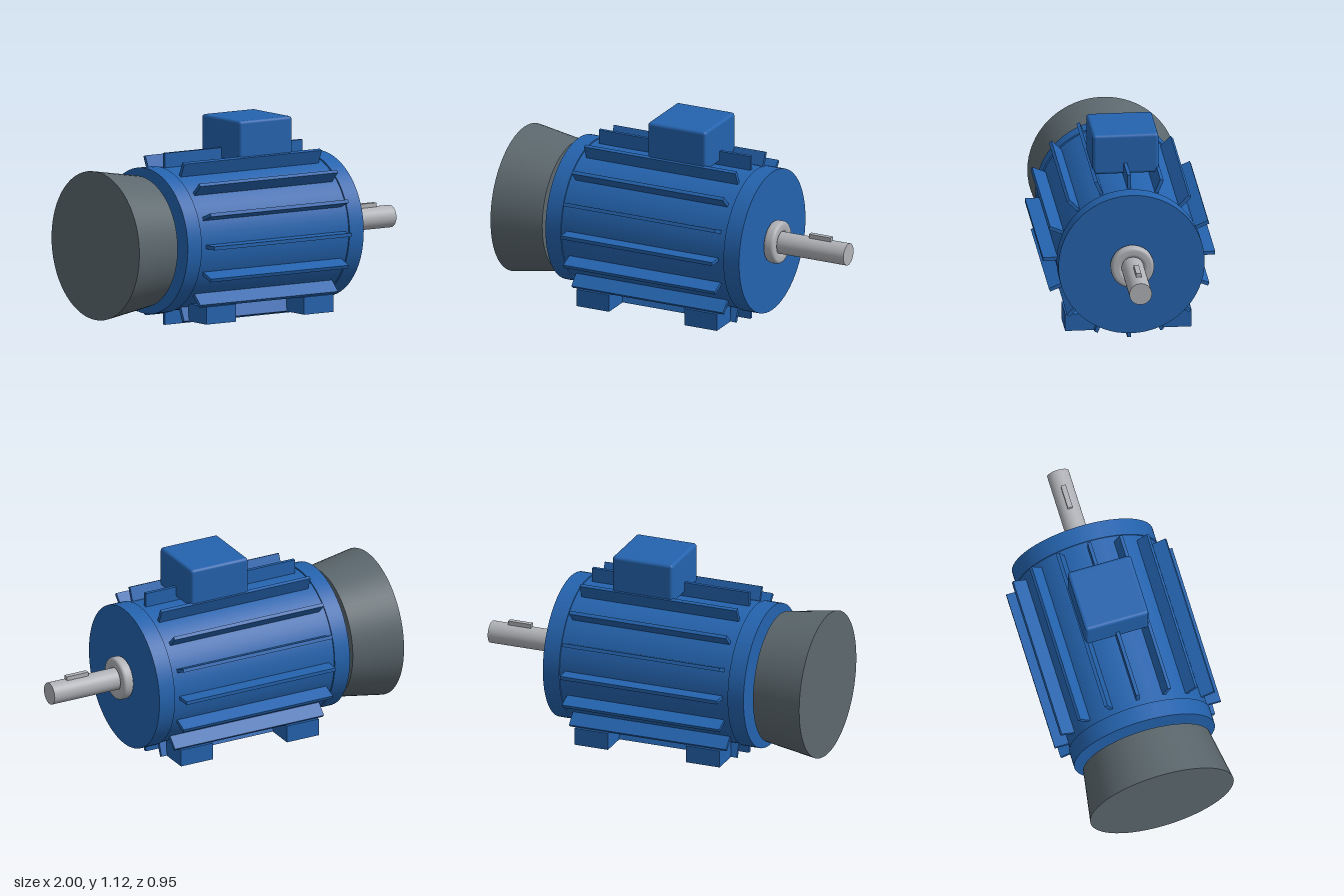
import * as THREE from 'three';
import { RoundedBoxGeometry } from 'three/addons/geometries/RoundedBoxGeometry.js';

const AXIS_Y = 0.477;

export function createModel() {
  const motor = new THREE.Group();
  motor.name = 'electricMotor';

  const material = (name, color) => {
    const m = new THREE.MeshStandardMaterial({ color });
    m.name = name;
    return m;
  };
  const blue = material('bluePaint', 0x2463ae);
  const grey = material('darkGrey', 0x5c686e);
  const steel = material('steel', 0xb0b2b7);

  const add = (name, geometry, mat, x = 0, y = 0, z = 0) => {
    const mesh = new THREE.Mesh(geometry, mat);
    mesh.name = name;
    mesh.position.set(x, y, z);
    motor.add(mesh);
    return mesh;
  };

  // Solid of revolution along x, from x0 (radius r0) to x1 (radius r1)
  const drum = (name, x0, x1, r0, r1, mat) => {
    const g = new THREE.CylinderGeometry(r1, r0, x1 - x0, 64);
    g.rotateZ(-Math.PI / 2);
    return add(name, g, mat, (x0 + x1) / 2, AXIS_Y);
  };

  // Ring with rounded edges around the shaft
  const collar = (name, x, width, inner, outer) => {
    const e = 0.022;
    const s = new THREE.Shape();
    const h = width / 2;
    s.moveTo(inner + e, -h);
    s.lineTo(outer - e, -h);
    s.quadraticCurveTo(outer, -h, outer, -h + e);
    s.lineTo(outer, h - e);
    s.quadraticCurveTo(outer, h, outer - e, h);
    s.lineTo(inner + e, h);
    s.quadraticCurveTo(inner, h, inner, h - e);
    s.lineTo(inner, -h + e);
    s.quadraticCurveTo(inner, -h, inner + e, -h);
    const g = new THREE.LatheGeometry(s.getPoints(6), 48);
    g.rotateZ(-Math.PI / 2);
    add(name, g, steel, x, AXIS_Y);
  };

  // Housing and end bells
  drum('housing', -0.6, 0.46, 0.397, 0.397, blue);
  drum('rearEndBell', -0.665, -0.57, 0.405, 0.405, blue);
  drum('frontEndBell', 0.433, 0.53, 0.405, 0.405, blue);

  // Tapered fan cover
  drum('fanCover', -1, -0.705, 0.413, 0.365, grey);

  // Shaft, its key and the bearing collars
  drum('shaft', -0.72, 1, 0.062, 0.062, steel);
  add('shaftKey', new THREE.BoxGeometry(0.135, 0.04, 0.028), steel, 0.83, AXIS_Y + 0.064);
  collar('frontCollar', 0.563, 0.064, 0.06, 0.12);
  collar('rearCollar', -0.705, 0.06, 0.04, 0.102);

  // Sixteen cooling fins around the housing
  for (let i = 0; i < 16; i++) {
    const g = new THREE.BoxGeometry(0.935, 0.097, 0.02);
    g.translate(0, 0.4285, 0);
    add('coolingFin', g, blue, -0.068, AXIS_Y).rotation.x = (i * Math.PI) / 8;
  }

  // Terminal box on top
  add('terminalBox', new RoundedBoxGeometry(0.36, 0.23, 0.364, 4, 0.018), blue, 0.03, 1.004, -0.002);

  // Four mounting feet
  for (const x of [-0.4, 0.265]) {
    for (const side of [-1, 1]) {
      add('mountingFoot', new THREE.BoxGeometry(0.2, 0.098, 0.166), blue, x, 0.086, side * 0.267);
    }
  }

  return motor;
}
